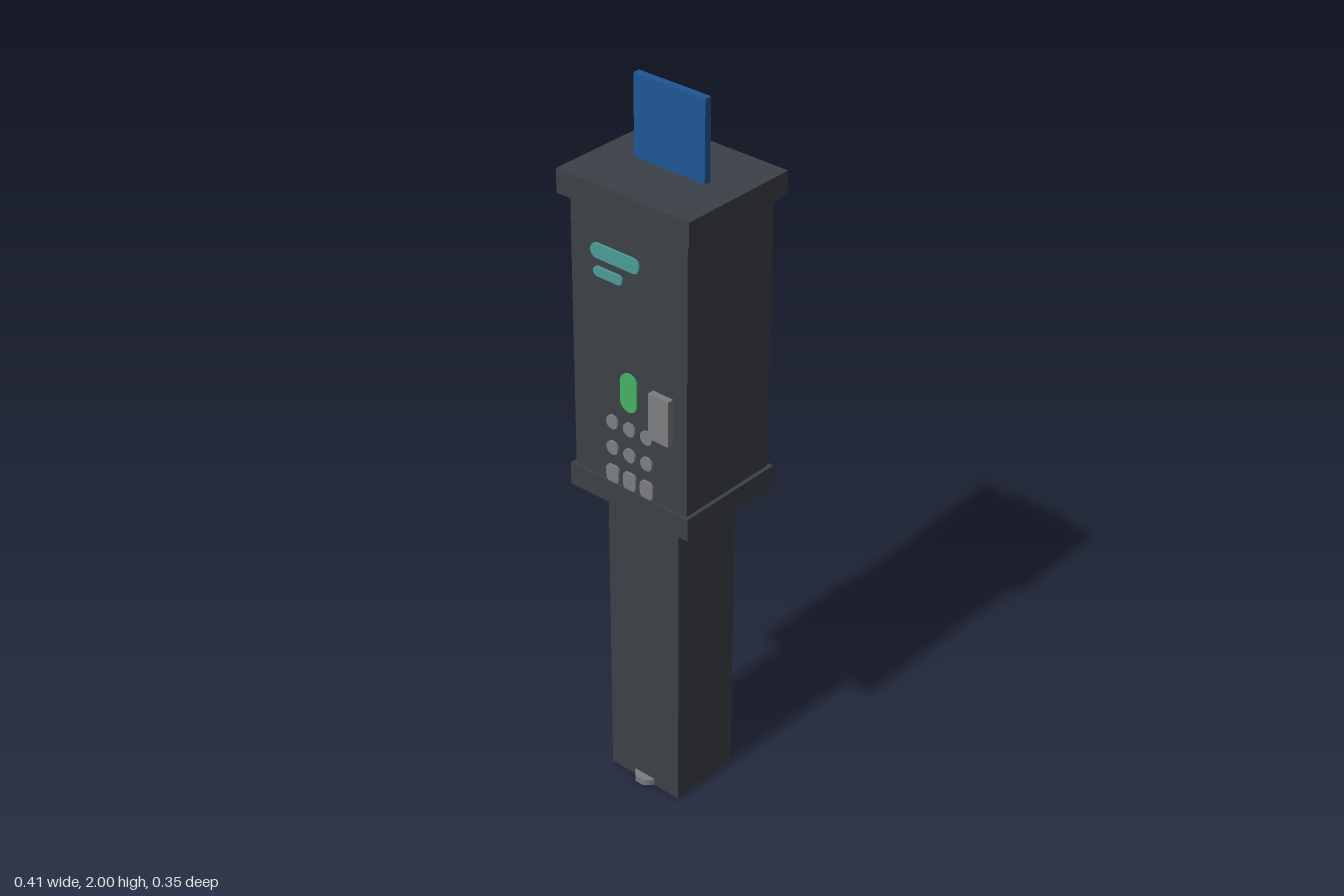
import * as THREE from 'three';

export function createModel() {
  const model = new THREE.Group();
  const mat = (name, color) => new THREE.MeshStandardMaterial({ name, color });
  const charcoal = mat('charcoal', 0x3c4147);
  const blue = mat('sign blue', 0x1f5797);
  const teal = mat('display teal', 0x4c9c98);
  const green = mat('indicator green', 0x46b065);
  const grey = mat('fitting grey', 0x7b7d7f);

  const add = (name, geometry, material, x, y, z) => {
    const mesh = new THREE.Mesh(geometry, material);
    mesh.name = name;
    mesh.position.set(x, y, z);
    model.add(mesh);
    return mesh;
  };
  // Box given by its width, depth and vertical extent
  const block = (name, w, d, y0, y1, material, x = 0, z = 0) =>
    add(name, new THREE.BoxGeometry(w, y1 - y0, d), material, x, (y0 + y1) / 2, z);

  // Housing and post
  block('post', 0.236, 0.216, 0, 0.9, charcoal);
  block('collar', 0.39, 0.326, 0.9, 0.963, charcoal);
  block('housing', 0.368, 0.306, 0.963, 1.72, charcoal);
  block('cap', 0.414, 0.35, 1.72, 1.784, charcoal);
  block('signPanel', 0.22, 0.02, 1.784, 2, blue);

  // Rounded plates on the front face
  const face = 0.153;
  const plate = (name, w, h, r, material, x, y, depth = 0.006) => {
    const a = w / 2 - r, b = h / 2 - r;
    const s = new THREE.Shape();
    s.absarc(a, b, r, 0, Math.PI / 2);
    s.absarc(-a, b, r, Math.PI / 2, Math.PI);
    s.absarc(-a, -b, r, Math.PI, Math.PI * 1.5);
    s.absarc(a, -b, r, Math.PI * 1.5, Math.PI * 2);
    const g = new THREE.ExtrudeGeometry(s, { depth, bevelEnabled: false, curveSegments: 4 });
    return add(name, g, material, x, y, face);
  };
  plate('displayBar', 0.154, 0.04, 0.0195, teal, -0.04, 1.598);
  plate('displayBarSmall', 0.092, 0.026, 0.0125, teal, -0.063, 1.543);
  plate('indicator', 0.054, 0.106, 0.0265, green, 0, 1.243);

  // Keypad: two rows of round keys over a row of larger ones
  for (const x of [-0.056, 0, 0.056]) {
    for (const y of [1.138, 1.063]) plate('key', 0.038, 0.038, 0.0185, grey, x, y);
    plate('lowerKey', 0.042, 0.05, 0.014, grey, x, 0.987);
  }

  // Card reader
  block('cardReader', 0.064, 0.019, 1.153, 1.28, grey, 0.108, face + 0.0095);

  // Anchor bolts at the foot, front and back
  for (const side of [1, -1]) {
    add('anchorBolt', new THREE.CylinderGeometry(0.036, 0.036, 0.018, 8), grey, 0, 0.011, side * 0.098)
      .rotation.y = Math.PI / 8;
  }
  return model;
}
